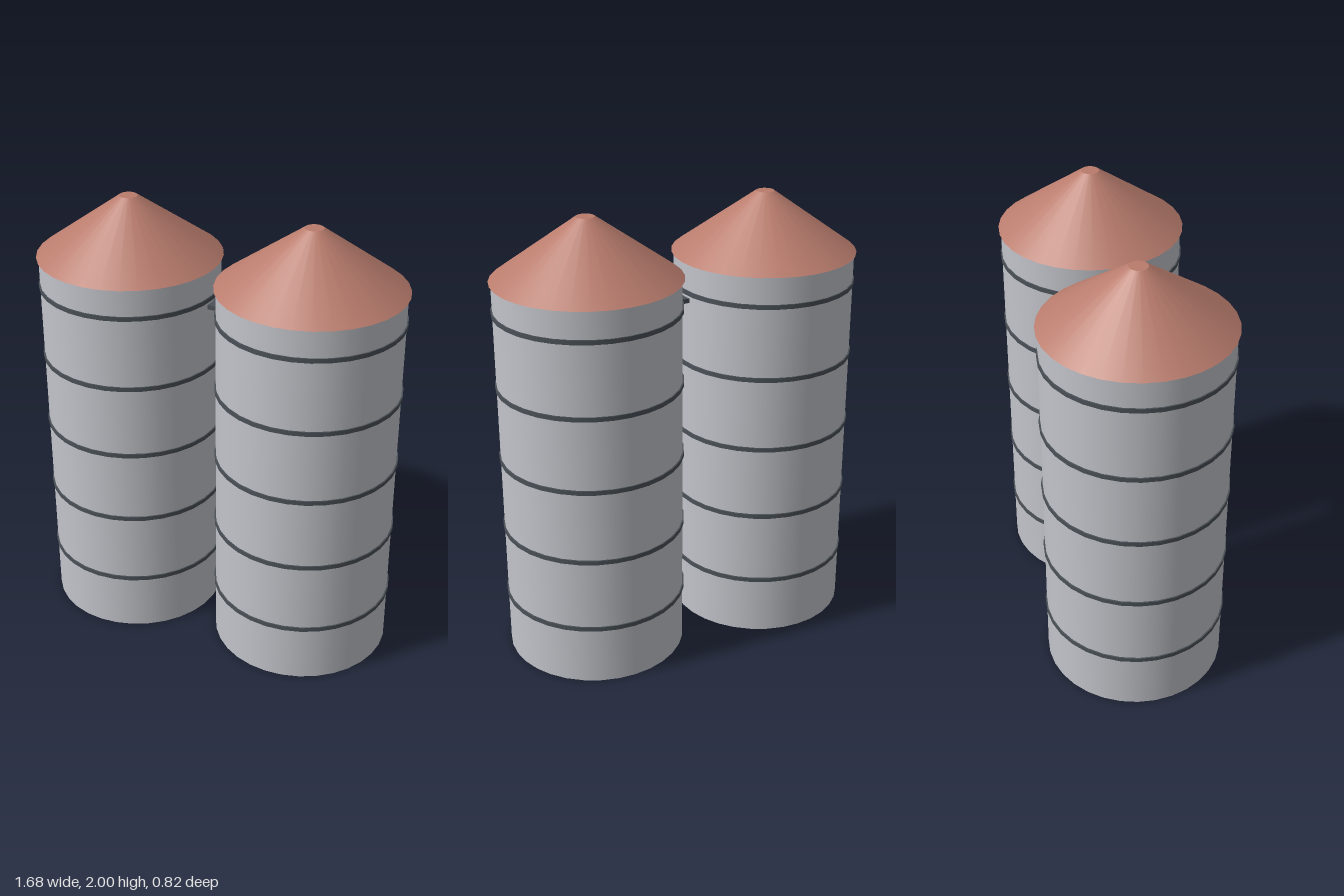
import * as THREE from 'three';

const SIDES = 32;
const WALL_TOP = 1.735;

function material(name, color) {
  const m = new THREE.MeshStandardMaterial({ color });
  m.name = name;
  return m;
}

export function createModel() {
  const model = new THREE.Group();
  model.name = 'twinSilos';
  const wallMat = material('light grey metal', 0xc2c4ca);
  const roofMat = material('terracotta roof', 0xb97c6d);
  const steelMat = material('dark steel', 0x4a5157);

  // Adds a named mesh at a height
  function add(parent, name, geometry, mat, y) {
    const mesh = new THREE.Mesh(geometry, mat);
    mesh.name = name;
    mesh.position.y = y;
    parent.add(mesh);
  }

  const wall = new THREE.CylinderGeometry(0.4, 0.4, WALL_TOP, SIDES);
  const roofHeight = 2 - WALL_TOP;
  const roof = new THREE.CylinderGeometry(0.04, 0.41, roofHeight, SIDES);
  const hoop = new THREE.CylinderGeometry(0.406, 0.406, 0.02, SIDES);

  // Two matching silos, side by side
  for (const side of [1, -1]) {
    const silo = new THREE.Group();
    silo.name = side > 0 ? 'leftSilo' : 'rightSilo';
    silo.position.x = side * 0.43;
    add(silo, 'wall', wall, wallMat, WALL_TOP / 2);
    add(silo, 'roof', roof, roofMat, WALL_TOP + roofHeight / 2);
    for (let i = 0; i < 5; i++) {
      add(silo, 'hoop', hoop, steelMat, 0.27 + i * 0.3335);
    }
    model.add(silo);
  }

  // Narrow catwalk bridging the gap
  add(model, 'catwalk', new THREE.BoxGeometry(0.1, 0.02, 0.08), steelMat, 1.57);
  return model;
}
